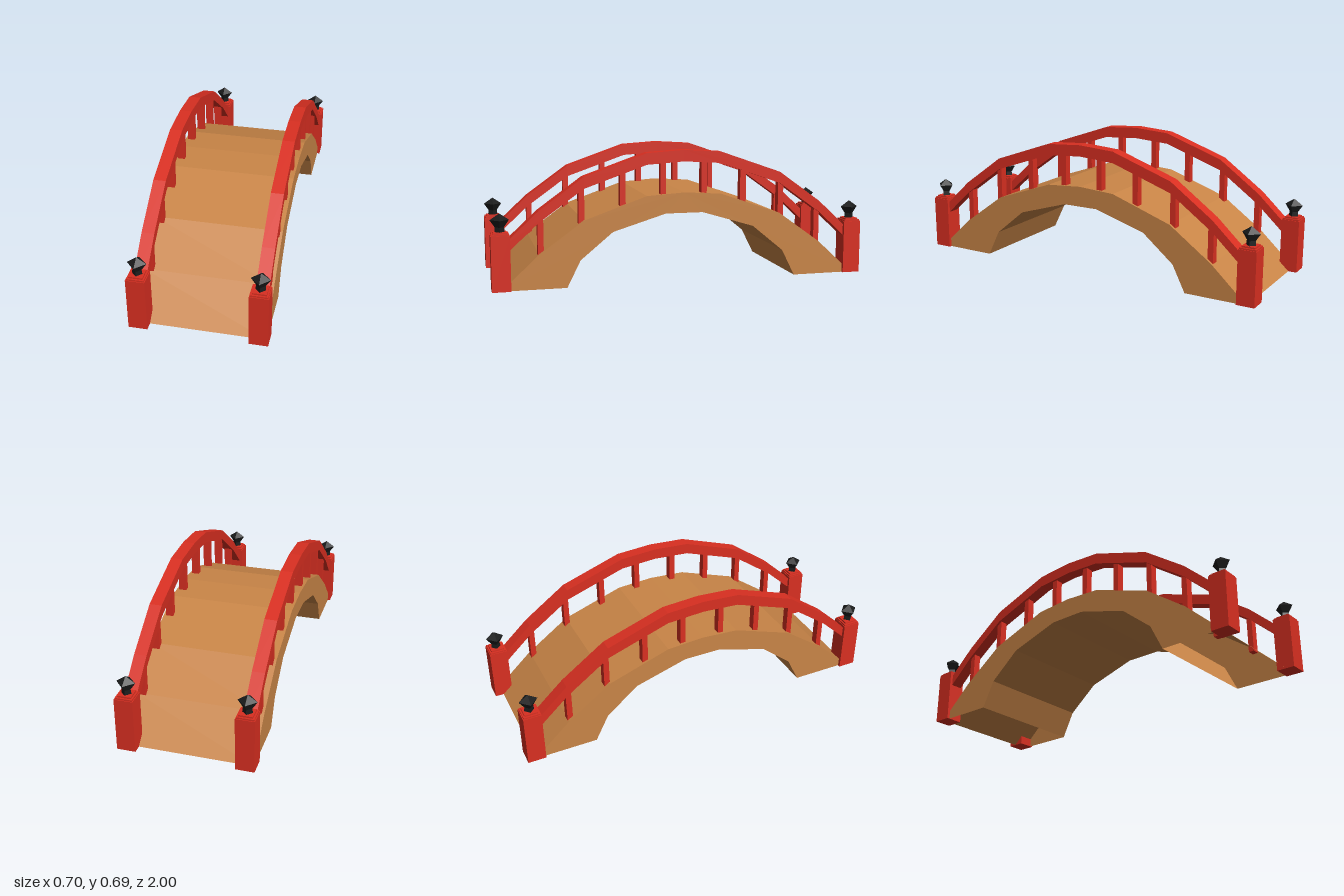
import * as THREE from 'three';

const material = (color) => new THREE.MeshStandardMaterial({ color, flatShading: true, side: THREE.DoubleSide });

// Half profiles as [z, y], from the foot to the crown
const DECK_TOP = [[0.955, 0], [0.76, 0.18], [0.53, 0.345], [0.2, 0.46], [0, 0.473]];
const DECK_UNDER = [[0.62, 0], [0.55, 0.14], [0.38, 0.28], [0.1, 0.365]];
const HALF_WIDTH = 0.333;
const RAIL_WIDTH = 0.065;

// Full curve from +z to -z, raised by dy
function mirrored(half, dy = 0) {
  const back = half.filter(([z]) => z > 0).reverse().map(([z, y]) => [-z, y]);
  return [...half, ...back].map(([z, y]) => [z, y + dy]);
}

// Shape enclosed between an upper and a lower curve
function between(upper, lower) {
  return new THREE.Shape([...upper, ...[...lower].reverse()].map(([z, y]) => new THREE.Vector2(z, y)));
}

// Sheet across the bridge that follows a curve
function sheet(curve) {
  const geo = new THREE.PlaneGeometry(2 * HALF_WIDTH, 1, 1, curve.length - 1);
  const pos = geo.attributes.position;
  for (let i = 0; i < pos.count; i++) {
    const [z, y] = curve[Math.floor(i / 2)];
    pos.setXYZ(i, (i % 2 ? 1 : -1) * HALF_WIDTH, y, z);
  }
  geo.computeVertexNormals();
  return geo;
}

// Height of the walking surface at z
function deckHeight(z) {
  const a = Math.abs(z);
  const i = DECK_TOP.findIndex(([pz]) => pz <= a);
  const [z0, y0] = DECK_TOP[i - 1];
  const [z1, y1] = DECK_TOP[i];
  return y0 + (y1 - y0) * (a - z0) / (z1 - z0);
}

export function createModel() {
  const group = new THREE.Group();
  const red = material(0xd92f21);
  const wood = material(0xc98547);
  const black = material(0x1b1c1c);

  function add(parent, name, geo, mat, x = 0, y = 0, z = 0) {
    const mesh = new THREE.Mesh(geo, mat);
    mesh.name = name;
    mesh.position.set(x, y, z);
    parent.add(mesh);
    return mesh;
  }

  // Arched deck, hollow and open at the feet
  const deck = new THREE.Group();
  deck.name = 'deck';
  group.add(deck);
  const top = mirrored(DECK_TOP);
  const under = mirrored(DECK_UNDER);
  add(deck, 'deckTop', sheet(top), wood);
  add(deck, 'deckUnderside', sheet([...under].reverse()), wood);
  for (const s of [-1, 1]) {
    const side = new THREE.ShapeGeometry(between(top, under)).rotateY(s * Math.PI / 2);
    add(deck, 'deckSide', side, wood, s * HALF_WIDTH);
  }

  // Handrails parallel to the deck, with balusters
  const railShape = between(mirrored(DECK_TOP, 0.222), mirrored(DECK_TOP, 0.162));
  const railGeo = new THREE.ExtrudeGeometry(railShape, { depth: RAIL_WIDTH, bevelEnabled: false })
    .translate(0, 0, -RAIL_WIDTH / 2).rotateY(-Math.PI / 2);
  const balusterGeo = new THREE.BoxGeometry(0.04, 0.21, 0.03);
  for (const s of [-1, 1]) {
    const railing = new THREE.Group();
    railing.name = s > 0 ? 'leftRailing' : 'rightRailing';
    group.add(railing);
    add(railing, 'handrail', railGeo, red, s * 0.3);
    for (const z of [0.11, 0.325, 0.54, 0.75]) {
      for (const e of [-1, 1]) {
        add(railing, 'baluster', balusterGeo, red, s * 0.3, deckHeight(z) + 0.08, e * z);
      }
    }
  }

  // Corner posts with stepped caps and faceted finials
  const finialGeo = new THREE.LatheGeometry(
    [[0, 0.298], [0.026, 0.298], [0.023, 0.324], [0.048, 0.361], [0, 0.394]].map(([r, y]) => new THREE.Vector2(r, y)), 4);
  for (const sx of [-1, 1]) {
    for (const sz of [-1, 1]) {
      const post = new THREE.Group();
      post.name = 'cornerPost';
      post.position.set(sx * 0.3, 0, sz * 0.952);
      group.add(post);
      add(post, 'postShaft', new THREE.BoxGeometry(0.096, 0.284, 0.096), red, 0, 0.142);
      add(post, 'postStep', new THREE.BoxGeometry(0.088, 0.01, 0.088), red, 0, 0.287);
      add(post, 'postCap', new THREE.BoxGeometry(0.07, 0.01, 0.07), red, 0, 0.295);
      add(post, 'finial', finialGeo, black);
    }
  }
  return group;
}
